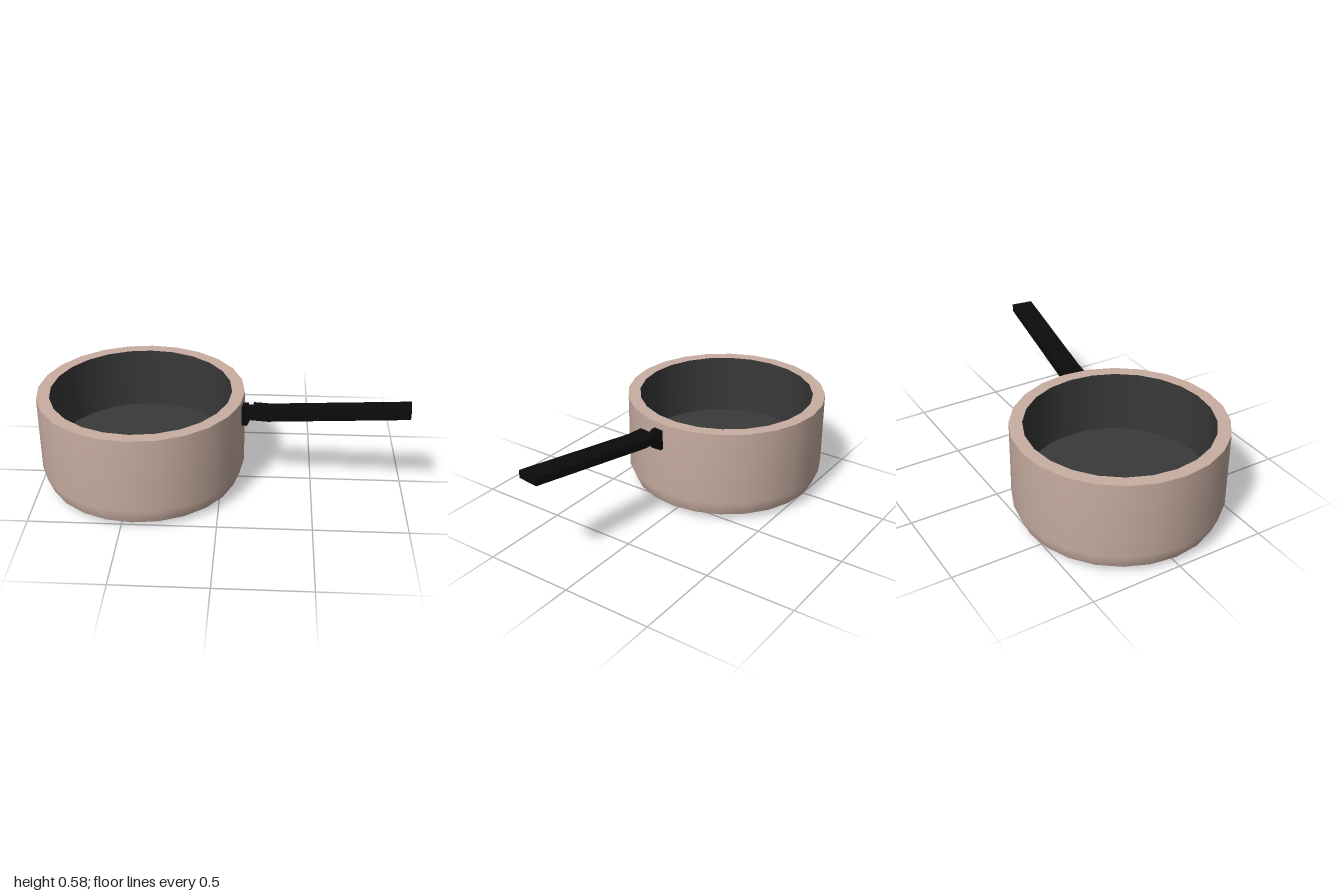
import * as THREE from 'three';

const SIDES = 24;

export function createModel() {
  const model = new THREE.Group();
  model.name = 'saucepan';

  const material = (name, color) => {
    const m = new THREE.MeshStandardMaterial({ color });
    m.name = name;
    return m;
  };
  const metal = material('rose metal', 0xc8aea2);
  const coating = material('dark coating', 0x393939);
  const black = material('black plastic', 0x0b0b0b);

  const add = (parent, name, geometry, mat) => {
    const mesh = new THREE.Mesh(geometry, mat);
    mesh.name = name;
    parent.add(mesh);
    return mesh;
  };

  // Pot: each lathe is one smooth band, so the edges between bands stay sharp
  const pot = new THREE.Group();
  pot.name = 'pot';
  pot.position.x = -0.437;
  model.add(pot);
  const band = (name, mat, profile) => add(pot, name,
    new THREE.LatheGeometry(profile.map(([r, y]) => new THREE.Vector2(r, y)), SIDES), mat);

  band('base', metal, [[0, 0], [0.46, 0], [0.53, 0.035]]);
  band('outerWall', metal, [[0.53, 0.035], [0.563, 0.12], [0.563, 0.54]]);
  band('rim', metal, [[0.563, 0.54], [0.494, 0.54]]);
  band('innerWall', coating, [[0.494, 0.54], [0.494, 0.19]]);
  band('floor', coating, [[0.494, 0.19], [0, 0.19]]);

  // Side profile in x and y, extruded to a width centred on z = 0
  const slab = (points, width) => {
    const shape = new THREE.Shape(points.map(([x, y]) => new THREE.Vector2(x, y)));
    return new THREE.ExtrudeGeometry(shape, { depth: width, bevelEnabled: false })
      .translate(0, 0, -width / 2);
  };

  // Bracket against the wall, with a narrower neck that carries the handle
  add(model, 'bracket', slab([[0.09, 0.39], [0.142, 0.39], [0.15, 0.41],
    [0.15, 0.5], [0.09, 0.5]], 0.06), black).position.z = 0.076;
  add(model, 'neck', slab([[0.13, 0.395], [0.145, 0.395], [0.172, 0.46],
    [0.19, 0.46], [0.19, 0.495], [0.13, 0.495]], 0.044), black).position.z = 0.082;

  // Handle: level at first, then rising, and turned slightly to the front
  const handle = add(model, 'handle', slab([[0, 0.455], [0.09, 0.455], [0.828, 0.54],
    [0.828, 0.583], [0.09, 0.5], [0, 0.5]], 0.122), black);
  handle.position.set(0.17, 0, 0.1);
  handle.rotation.y = -0.128;

  return model;
}
